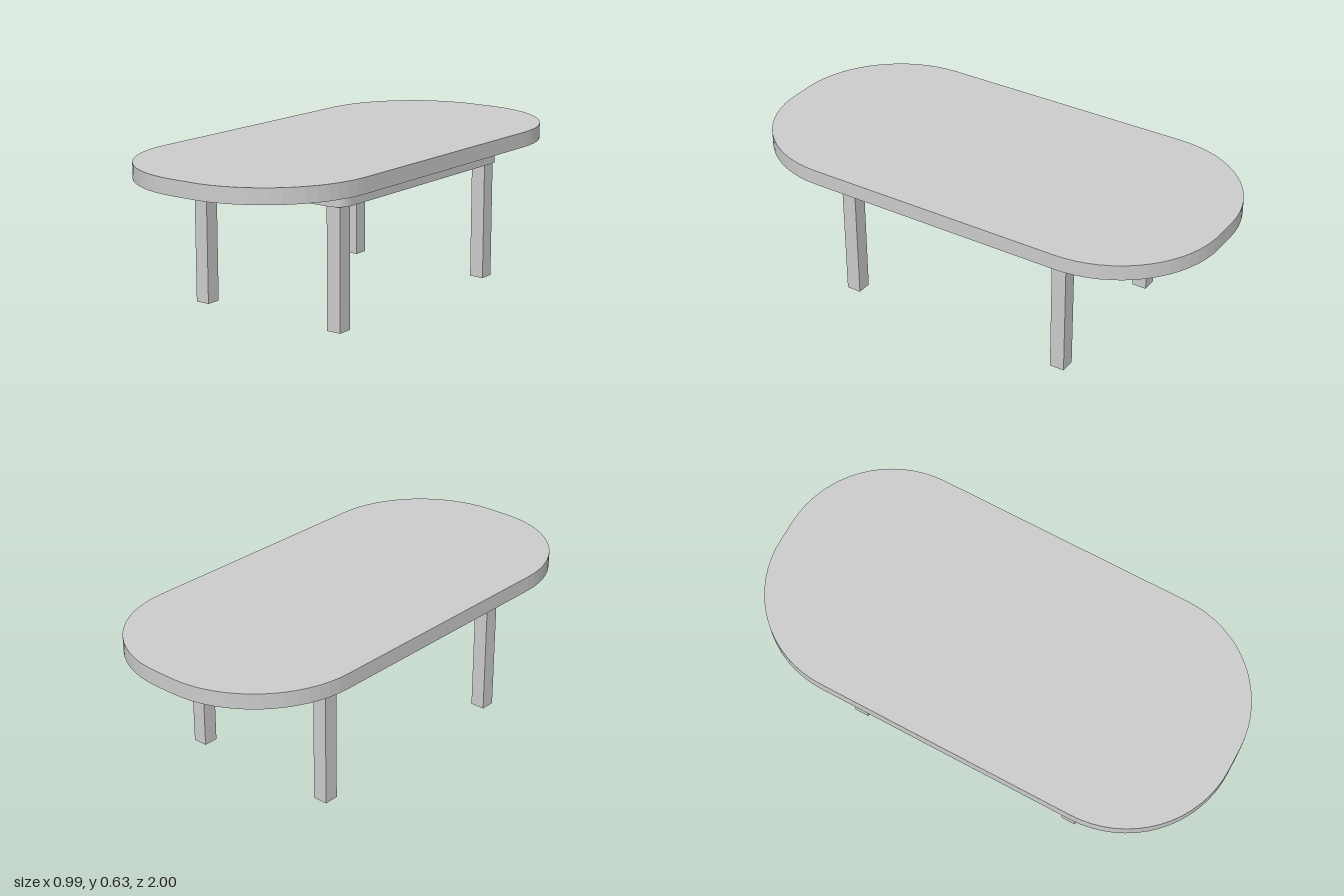
import * as THREE from 'three';

const material = new THREE.MeshStandardMaterial({ color: 0xcccccc });

// Rectangle with rounded corners, centred on the origin
function roundedRect(halfX, halfZ, r) {
  const s = new THREE.Shape();
  const cx = halfX - r, cz = halfZ - r, q = Math.PI / 2;
  s.absarc(cx, cz, r, 0, q);
  s.absarc(-cx, cz, r, q, 2 * q);
  s.absarc(-cx, -cz, r, 2 * q, 3 * q);
  s.absarc(cx, -cz, r, 3 * q, 4 * q);
  s.closePath();
  return s;
}

// Horizontal slab extruded upwards from bottom to top
function slab(name, shape, bottom, top, curveSegments) {
  const geometry = new THREE.ExtrudeGeometry(shape, {
    depth: top - bottom, bevelEnabled: false, curveSegments,
  });
  geometry.rotateX(-Math.PI / 2);
  geometry.translate(0, bottom, 0);
  const mesh = new THREE.Mesh(geometry, material);
  mesh.name = name;
  return mesh;
}

export function createModel() {
  const table = new THREE.Group();
  table.name = 'table';

  const legTop = 0.492, apronTop = 0.564, height = 0.627;
  const legSize = 0.062, legX = 0.331, legZ = 0.494;

  // Faceted oval top
  table.add(slab('tableTop', roundedRect(0.497, 1, 0.45), apronTop, height, 8));

  // Apron frame, open in the middle, its inner faces flush with the legs
  const apron = roundedRect(0.385, 0.546, 0.06);
  const ix = legX - legSize / 2, iz = legZ - legSize / 2;
  apron.holes.push(new THREE.Path([
    new THREE.Vector2(-ix, -iz), new THREE.Vector2(-ix, iz),
    new THREE.Vector2(ix, iz), new THREE.Vector2(ix, -iz),
  ]));
  table.add(slab('apron', apron, legTop, apronTop, 3));

  // Four square legs
  const legGeometry = new THREE.BoxGeometry(legSize, legTop, legSize);
  for (const [xName, sx] of [['Left', 1], ['Right', -1]]) {
    for (const [zName, sz] of [['front', 1], ['back', -1]]) {
      const leg = new THREE.Mesh(legGeometry, material);
      leg.name = `${zName}${xName}Leg`;
      leg.position.set(sx * legX, legTop / 2, sz * legZ);
      table.add(leg);
    }
  }
  return table;
}
